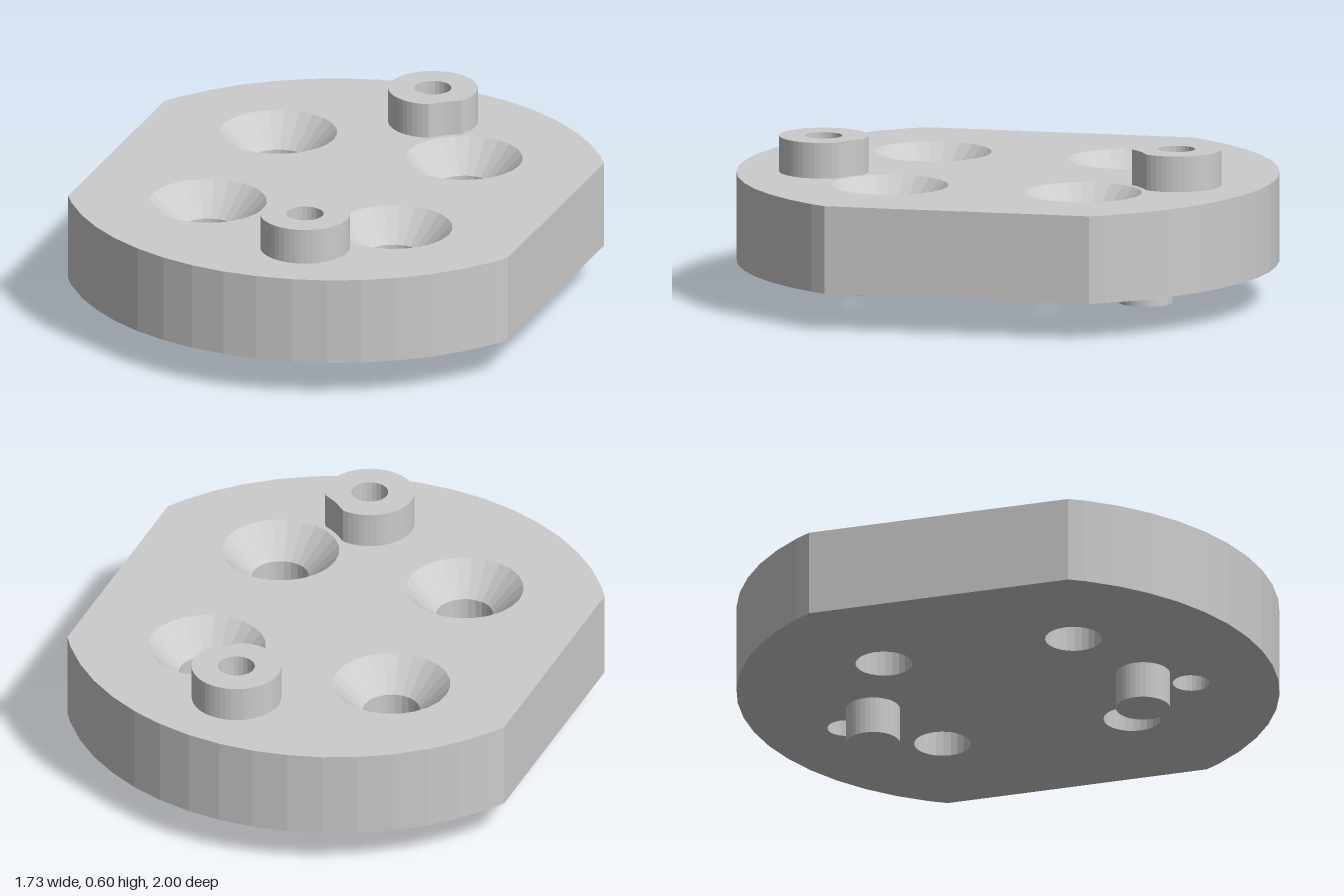
import * as THREE from 'three';
import { mergeGeometries } from 'three/addons/utils/BufferGeometryUtils.js';

const PLATE_BOTTOM = 0.14, PLATE_TOP = 0.467, BOSS_TOP = 0.6;
const FLAT_X = 0.865;
const SINK_POS = 0.365, SINK_R = 0.217, SINK_DEPTH = 0.112, SCREW_R = 0.105;
const BOSS_X = 0.13, BOSS_Z = 0.665, BOSS_R = 0.165, BORE_R = 0.068, NOTCH_R = 0.235;
const PEG_Z = 0.52, PEG_R = 0.1;

// Plan loops are counter-clockwise from above; plan y points to -z.
function circle(cx, cy, r, n) {
  return Array.from({ length: n }, (_, i) => {
    const a = (i / n) * Math.PI * 2;
    return new THREE.Vector2(cx + r * Math.cos(a), cy + r * Math.sin(a));
  });
}

// Disc with two parallel sides cut flat
function plateOutline() {
  const half = [];
  const edge = Math.sqrt(1 - FLAT_X * FLAT_X) - 0.003;
  half.push(new THREE.Vector2(FLAT_X, edge));
  for (let a = 33.75; a <= 146.25; a += 7.5) {
    const t = THREE.MathUtils.degToRad(a);
    half.push(new THREE.Vector2(Math.cos(t), Math.sin(t)));
  }
  half.push(new THREE.Vector2(-FLAT_X, edge));
  return [...half, ...half.map((p) => p.clone().negate())];
}

// Round boss with a shallow bite that clears the neighbouring countersink
function bossOutline(side) {
  const centre = new THREE.Vector2(SINK_POS, side * SINK_POS);
  return circle(BOSS_X, side * BOSS_Z, BOSS_R, 48).map((p) => {
    const d = p.clone().sub(centre);
    return d.length() < NOTCH_R ? d.setLength(NOTCH_R).add(centre) : p;
  });
}

// Wall between two loops: faces outward when rising, inward when falling
function wall(a, ya, b, yb) {
  const pos = [];
  const put = (p, y) => pos.push(p.x, y, -p.y);
  a.forEach((p, i) => {
    const j = (i + 1) % a.length;
    put(p, ya); put(a[j], ya); put(b[j], yb);
    put(p, ya); put(b[j], yb); put(b[i], yb);
  });
  const g = new THREE.BufferGeometry();
  g.setAttribute('position', new THREE.Float32BufferAttribute(pos, 3));
  g.computeVertexNormals();
  return g;
}

// Horizontal face with holes, facing up or down
function face(outline, holes, y, up) {
  const shape = new THREE.Shape(outline);
  shape.holes = holes.map((h) => new THREE.Path(h));
  const g = new THREE.ShapeGeometry(shape).rotateX(-Math.PI / 2).translate(0, y, 0);
  if (!up) g.index.array.reverse();
  const flat = g.toNonIndexed();
  flat.deleteAttribute('uv');
  flat.computeVertexNormals();
  return flat;
}

export function createModel() {
  const model = new THREE.Group();
  const material = new THREE.MeshStandardMaterial({ color: 0xcccccc, flatShading: true });
  const add = (name, ...parts) => {
    const mesh = new THREE.Mesh(parts.length > 1 ? mergeGeometries(parts) : parts[0], material);
    mesh.name = name;
    model.add(mesh);
    return mesh;
  };

  const topHoles = [], bottomHoles = [];

  // Four countersunk screw holes
  for (const sx of [-1, 1]) for (const sy of [-1, 1]) {
    const rim = circle(sx * SINK_POS, sy * SINK_POS, SINK_R, 24);
    const throat = circle(sx * SINK_POS, sy * SINK_POS, SCREW_R, 24);
    const y = PLATE_TOP - SINK_DEPTH;
    add('countersunkHole', wall(rim, PLATE_TOP, throat, y), wall(throat, y, throat, PLATE_BOTTOM));
    topHoles.push(rim);
    bottomHoles.push(throat);
  }

  for (const side of [-1, 1]) {
    // Boss on top, bored right through the plate
    const boss = bossOutline(side);
    const bore = circle(BOSS_X, side * BOSS_Z, BORE_R, 24);
    add('boss',
      wall(boss, PLATE_TOP, boss, BOSS_TOP),
      face(boss, [bore], BOSS_TOP, true),
      wall(bore, BOSS_TOP, bore, PLATE_BOTTOM));
    topHoles.push(boss);

    // Locating peg underneath
    const peg = circle(0, side * PEG_Z, PEG_R, 32);
    add('locatingPeg', wall(peg, 0, peg, PLATE_BOTTOM), face(peg, [], 0, false));
    bottomHoles.push(bore, peg);
  }

  // Plate body
  const outline = plateOutline();
  add('plate',
    wall(outline, PLATE_BOTTOM, outline, PLATE_TOP),
    face(outline, topHoles, PLATE_TOP, true),
    face(outline, bottomHoles, PLATE_BOTTOM, false));

  return model;
}
